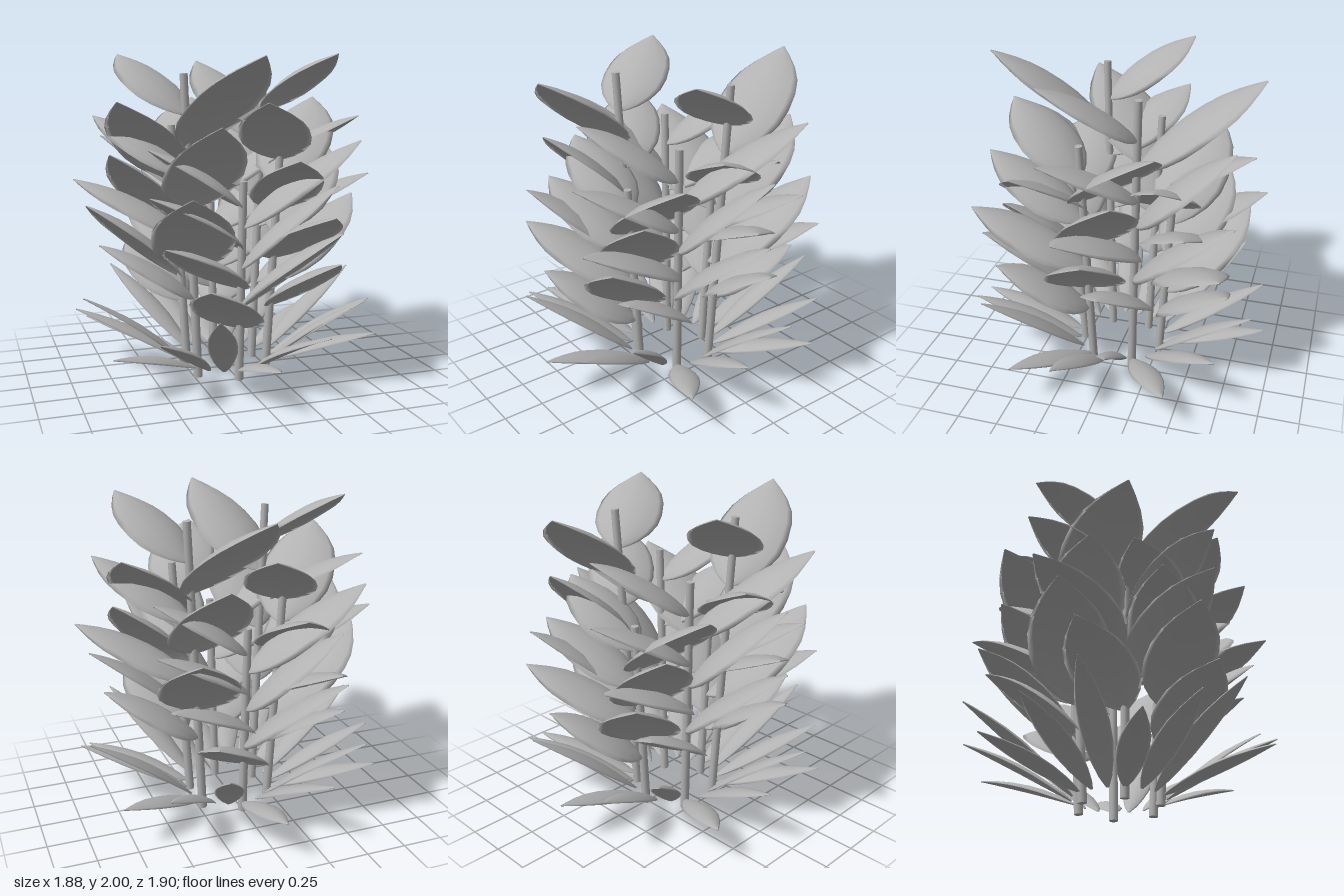
import * as THREE from 'three';

const leafGrey = new THREE.MeshStandardMaterial({ color: 0xb2b2b2 });
leafGrey.name = 'soft grey';

// Half-width outlines along a leaf: [position, width factor]
const BROAD = [[0, 0.04], [0.04, 0.26], [0.1, 0.5], [0.2, 0.77], [0.32, 0.95], [0.45, 1],
  [0.6, 0.95], [0.72, 0.82], [0.83, 0.58], [0.93, 0.27], [1, 0.02]];
const NARROW = [[0, 0.1], [0.08, 0.42], [0.2, 0.72], [0.35, 0.95], [0.5, 1],
  [0.65, 0.9], [0.8, 0.62], [0.92, 0.3], [1, 0.03]];

// Thin leaf growing along +z from the origin, domed across and arched along its length
function leafGeometry(outline, length, width, thickness) {
  const sides = 12, pos = [], index = [];
  outline.forEach(([u, f]) => {
    const half = f * width / 2;
    const arch = 0.035 * length * Math.sin(Math.PI * u);
    for (let j = 0; j < sides; j++) {
      const a = j / sides * Math.PI * 2, c = Math.cos(a);
      const dome = 0.28 * half * (0.5 - c * c);
      pos.push(half * c, arch + dome + thickness * (0.4 + 0.6 * f) * Math.sin(a), u * length);
    }
  });
  const rings = outline.length;
  for (let i = 0; i < rings - 1; i++) {
    for (let j = 0; j < sides; j++) {
      const a = i * sides + j, b = i * sides + (j + 1) % sides;
      index.push(a, b, b + sides, a, b + sides, a + sides);
    }
  }
  // End caps
  const last = (rings - 1) * sides;
  for (let j = 1; j < sides - 1; j++) {
    index.push(0, j + 1, j, last, last + j, last + j + 1);
  }
  const g = new THREE.BufferGeometry();
  g.setAttribute('position', new THREE.Float32BufferAttribute(pos, 3));
  g.setIndex(index);
  g.computeVertexNormals();
  return g;
}

const RAD = Math.PI / 180;
const BASE_R = 0.26, LEAN = 0.0585;

// Point at a bearing (degrees from +z toward +x), radius and height
const polar = (deg, r, y) => new THREE.Vector3(r * Math.sin(deg * RAD), y, r * Math.cos(deg * RAD));

function placeLeaf(name, { geometry, rise, run }, from, bearing) {
  const leaf = new THREE.Mesh(geometry, leafGrey);
  leaf.name = name;
  leaf.position.copy(from);
  leaf.rotation.set(-Math.atan2(rise, run), bearing * RAD, 0, 'YXZ');
  return leaf;
}

export function createModel() {
  const plant = new THREE.Group();
  plant.name = 'plant';

  // Stem leaves: sides alternate, reach repeats every three, fanning wider with height
  const stemLeaves = Array.from({ length: 7 }, (_, i) => {
    const right = i % 2 === 1;
    const rise = right ? 0.52 : 0.36, run = [0.575, 0.65, 0.72][i % 3];
    const geometry = leafGeometry(BROAD, Math.hypot(rise, run), right ? 0.49 : 0.43, 0.01);
    return { rise, run, geometry, level: 0.27 + 0.1 * i, turn: (right ? 1 : -1) * (35.5 + 8.75 * i) };
  });

  // Ground leaves: bearing offset and tip height
  const groundLeaves = [[0, 0.28], [20, 0.42], [-20, 0.57]].map(([turn, tip]) => {
    const rise = tip - 0.06, run = 0.67;
    return { turn, rise, run, geometry: leafGeometry(NARROW, Math.hypot(rise, run), 0.18, 0.01) };
  });

  // Six stems in a ring, three heights repeating on opposite sides
  const heights = [1.25, 1.56, 1.88];
  for (let s = 0; s < 6; s++) {
    const bearing = s * 60, h = heights[s % 3];
    const shoot = new THREE.Group();
    shoot.name = 'shoot';

    // Stem leaning outward
    const foot = polar(bearing, BASE_R, 0);
    const top = polar(bearing, BASE_R + LEAN * h, h);
    const axis = top.clone().sub(foot);
    const stem = new THREE.Mesh(new THREE.CylinderGeometry(0.024, 0.028, axis.length(), 10), leafGrey);
    stem.name = 'stem';
    stem.position.copy(foot).add(top).multiplyScalar(0.5);
    stem.quaternion.setFromUnitVectors(new THREE.Vector3(0, 1, 0), axis.normalize());
    shoot.add(stem);

    // Narrow leaves near the ground
    for (const leaf of groundLeaves) {
      const b = bearing + leaf.turn;
      shoot.add(placeLeaf('groundLeaf', leaf, polar(b, 0.28, 0.06), b));
    }

    // Broad leaves up the stem
    for (const leaf of stemLeaves) {
      const y = h * leaf.level;
      shoot.add(placeLeaf('stemLeaf', leaf, polar(bearing, BASE_R + LEAN * y, y), bearing + leaf.turn));
    }
    plant.add(shoot);
  }
  return plant;
}
